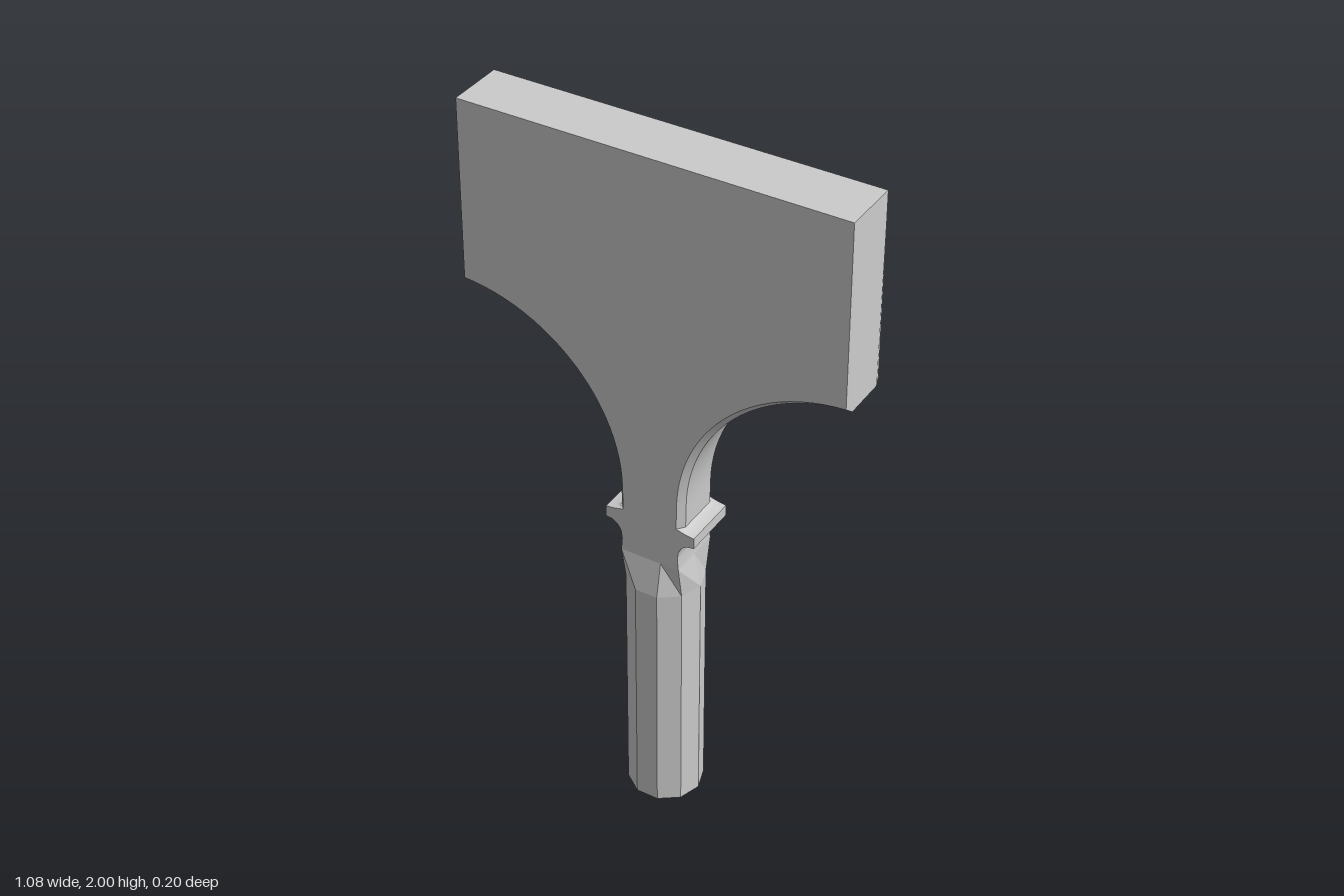
import * as THREE from 'three';
import { toCreasedNormals } from 'three/addons/utils/BufferGeometryUtils.js';

const material = new THREE.MeshStandardMaterial({ color: 0xcccccc });

// Skin stacked rings of equal point count, with triangulated caps at both ends
function loft(rings, capOutline) {
  const n = rings[0].length, index = [];
  for (let r = 0; r < rings.length - 1; r++) {
    for (let i = 0; i < n; i++) {
      const j = (i + 1) % n, a = r * n, b = a + n;
      index.push(a + i, b + i, b + j, a + i, b + j, a + j);
    }
  }
  const last = (rings.length - 1) * n;
  for (const [a, b, c] of THREE.ShapeUtils.triangulateShape(capOutline, [])) {
    index.push(a, b, c, last + a, last + c, last + b);
  }
  const geometry = new THREE.BufferGeometry();
  geometry.setAttribute('position', new THREE.Float32BufferAttribute(rings.flat(2), 3));
  geometry.setIndex(index);
  return geometry;
}

// Full outline, counter-clockwise; inset pulls the concave edges in for the bevel
function bladeOutline(inset) {
  const right = [
    [0.085, 0.82], [0.082, 0.855], [0.085, 0.88], [0.095, 0.897], [0.11, 0.907],
    [0.13, 0.91], [0.13, 0.942], [0.105, 0.945], [0.094 - inset, 0.952],
  ];
  const radius = 0.465 + inset;
  const steps = 24;
  for (let i = 0; i <= steps; i++) {
    const t = Math.PI - (i / steps) * (Math.PI / 2 - 0.05);
    right.push([0.56 + radius * Math.cos(t), 1.015 + radius * Math.sin(t)]);
  }
  right.push([0.54 - inset * 0.4, 1.48 + inset], [0.53, 2]);
  const left = right.map(([x, y]) => [-x, y]).reverse();
  return [...right, ...left].map(([x, y]) => new THREE.Vector2(x, y));
}

function createBlade() {
  const face = bladeOutline(0.016), middle = bladeOutline(0);
  const ring = (outline, z) => outline.map(p => [p.x, p.y, z]);
  const geometry = loft(
    [ring(face, 0.08), ring(middle, 0.06), ring(middle, -0.06), ring(face, -0.08)], face);
  return toCreasedNormals(geometry, Math.PI / 7);
}

// Ten-sided grip whose top ring flares into the rectangular neck
function createHandle() {
  const outline = [], neck = [];
  for (let i = 0; i < 10; i++) {
    const a = (i / 10) * Math.PI * 2;
    const c = Math.cos(a), s = Math.sin(a);
    outline.push(new THREE.Vector2(0.104 * c, 0.104 * s));
    const x = Math.abs(c) > 0.5 ? 0.085 * Math.sign(c) : 0.104 * c;
    neck.push([x, 0.82, Math.abs(s) > 0.1 ? 0.08 * Math.sign(s) : 0]);
  }
  const ring = y => outline.map(p => [p.x, y, p.y]);
  return toCreasedNormals(loft([ring(0), ring(0.72), neck], outline), 0.02);
}

export function createModel() {
  const model = new THREE.Group();
  model.name = 'flaredTool';
  for (const [name, geometry] of [['blade', createBlade()], ['handle', createHandle()]]) {
    const mesh = new THREE.Mesh(geometry, material);
    mesh.name = name;
    model.add(mesh);
  }
  return model;
}
